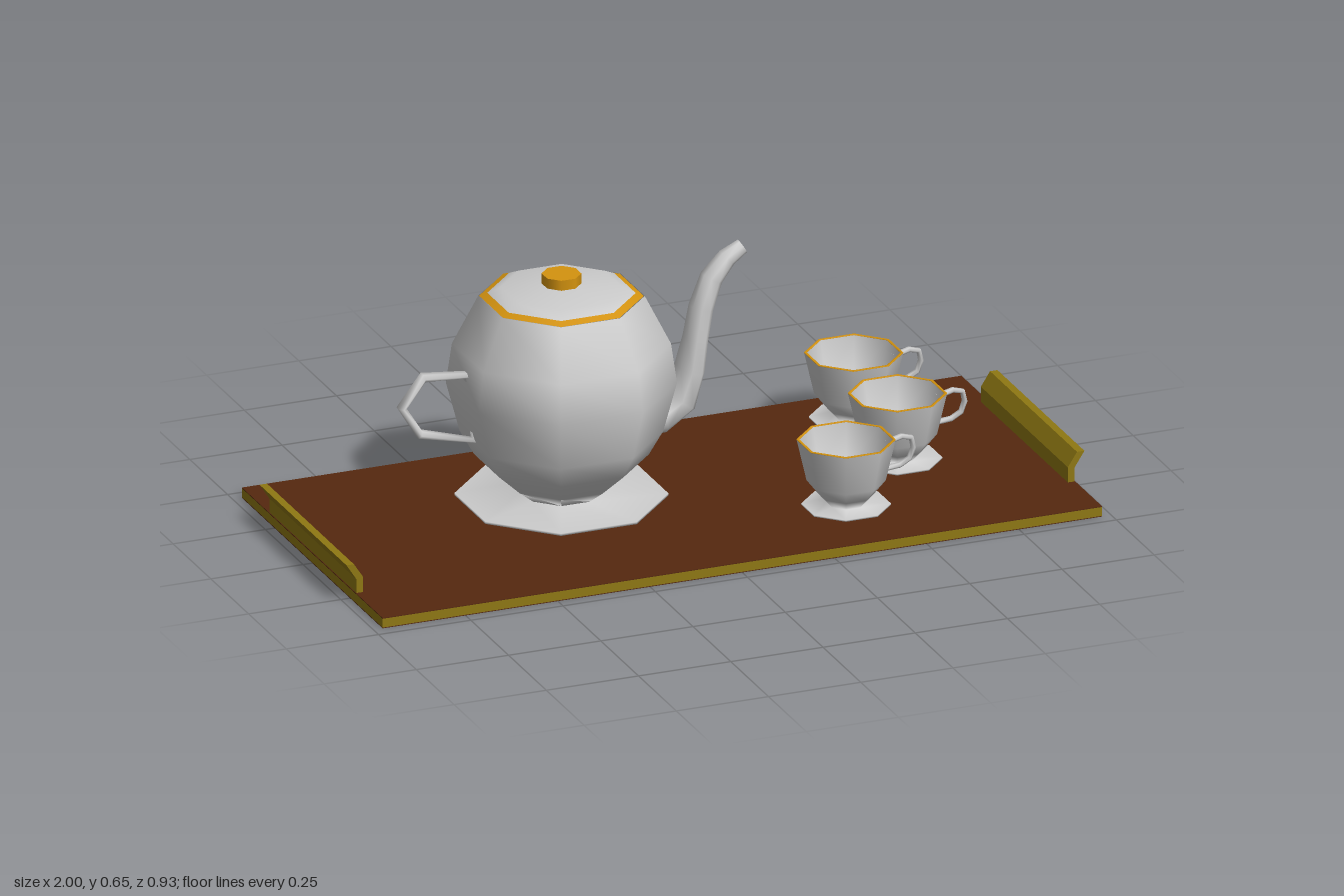
import * as THREE from 'three';

const mat = (color) => new THREE.MeshStandardMaterial({ color, side: THREE.DoubleSide });
const china = mat(0xcccccc);
const gold = mat(0xd4930f);
const brass = mat(0x8f7812);
const wood = mat(0x55280f);

function add(parent, name, geometry, material, x = 0, y = 0, z = 0) {
  const mesh = new THREE.Mesh(geometry, material);
  mesh.name = name;
  mesh.position.set(x, y, z);
  parent.add(mesh);
  return mesh;
}

// Eight-sided turned form; radii are measured to the middle of each flat side
function octagon(profile) {
  const k = 1 / Math.cos(Math.PI / 8);
  const pts = profile.map(([r, y]) => new THREE.Vector2(r * k, y));
  return new THREE.LatheGeometry(pts, 8, Math.PI / 8);
}

// Elliptical rings along a path in the xy plane; stations are [x, y, half thickness, half width]
function sweep(stations, { closed = false, sides = 8, capEnd = false } = {}) {
  const n = stations.length;
  const pos = [];
  const idx = [];
  stations.forEach(([x, y, a, b], i) => {
    const p = stations[closed ? (i + n - 1) % n : Math.max(i - 1, 0)];
    const q = stations[closed ? (i + 1) % n : Math.min(i + 1, n - 1)];
    const len = Math.hypot(q[0] - p[0], q[1] - p[1]);
    const nx = -(q[1] - p[1]) / len;
    const ny = (q[0] - p[0]) / len;
    for (let j = 0; j < sides; j++) {
      const t = ((j + 0.5) / sides) * Math.PI * 2;
      const c = Math.cos(t) * a;
      pos.push(x + nx * c, y + ny * c, Math.sin(t) * b);
    }
  });
  for (let i = 0; i < (closed ? n : n - 1); i++) {
    for (let j = 0; j < sides; j++) {
      const a = i * sides + j;
      const b = i * sides + ((j + 1) % sides);
      const c = ((i + 1) % n) * sides + j;
      const d = ((i + 1) % n) * sides + ((j + 1) % sides);
      idx.push(a, b, c, b, d, c);
    }
  }
  if (capEnd) {
    const s = (n - 1) * sides;
    for (let j = 1; j < sides - 1; j++) idx.push(s, s + j, s + j + 1);
  }
  const g = new THREE.BufferGeometry();
  g.setAttribute('position', new THREE.Float32BufferAttribute(pos, 3));
  g.setIndex(idx);
  g.computeVertexNormals();
  return g;
}

function makeTray() {
  const tray = new THREE.Group();
  tray.name = 'tray';
  add(tray, 'trayEdge', new THREE.BoxGeometry(1.95, 0.024, 0.932), brass, 0, 0.014, 0);
  for (const [name, y] of [['trayTop', 0.027], ['trayUnderside', 0.001]]) {
    add(tray, name, new THREE.BoxGeometry(1.95, 0.002, 0.932), wood, 0, y, 0);
  }
  // Grips: an upright strip with its upper half bent outwards
  const shape = new THREE.Shape([
    [0.955, 0.026], [0.973, 0.026], [0.973, 0.065], [1.0, 0.107], [0.98, 0.107], [0.955, 0.069],
  ].map(([x, y]) => new THREE.Vector2(x, y)));
  const grip = new THREE.ExtrudeGeometry(shape, { depth: 0.576, bevelEnabled: false });
  grip.translate(0, 0, -0.288);
  add(tray, 'leftGrip', grip, brass);
  add(tray, 'rightGrip', grip, brass).rotation.y = Math.PI;
  return tray;
}

function makeTeapot() {
  const pot = new THREE.Group();
  pot.name = 'teapot';
  add(pot, 'potBody', octagon([
    [0, 0.036], [0.248, 0.038], [0.248, 0.044], [0.093, 0.05], [0.135, 0.085], [0.203, 0.15],
    [0.236, 0.213], [0.268, 0.344], [0.254, 0.45], [0.193, 0.579],
  ]), china);
  // Lid with its gilded edge and knob
  add(pot, 'lidBand', octagon([[0.191, 0.579], [0.172, 0.587]]), gold);
  add(pot, 'lid', octagon([[0.172, 0.587], [0.141, 0.603], [0.046, 0.613], [0, 0.614]]), china);
  add(pot, 'knob', new THREE.CylinderGeometry(0.05, 0.05, 0.027, 8, 1, false, Math.PI / 8), gold, 0, 0.6265, 0);
  // Spout, wide and oval at the root
  add(pot, 'spout', sweep([
    [0.19, 0.215, 0.05, 0.054], [0.265, 0.215, 0.045, 0.056], [0.32, 0.25, 0.043, 0.057],
    [0.347, 0.33, 0.036, 0.056], [0.363, 0.41, 0.031, 0.043], [0.378, 0.49, 0.031, 0.037],
    [0.406, 0.565, 0.03, 0.03], [0.448, 0.613, 0.025, 0.025], [0.49, 0.638, 0.02, 0.019],
  ], { capEnd: true }), china);
  // Angular closed handle with an upright against the body
  add(pot, 'potHandle', sweep([
    [-0.255, 0.405], [-0.375, 0.416], [-0.433, 0.342], [-0.385, 0.264], [-0.235, 0.225],
  ].map(([x, y]) => [x, y, 0.012, 0.018]), { closed: true, sides: 6 }), china);
  pot.position.set(-0.262, 0, -0.092);
  return pot;
}

function makeCup(x, z) {
  const cup = new THREE.Group();
  cup.name = 'cup';
  // Saucer, outer wall, then down the inside to the floor
  add(cup, 'cupBody', octagon([
    [0, 0.035], [0.104, 0.036], [0.104, 0.04], [0.046, 0.043], [0.066, 0.068], [0.092, 0.103], [0.115, 0.213],
  ]), china);
  add(cup, 'cupInside', octagon([[0.109, 0.212], [0.087, 0.105], [0.045, 0.06], [0, 0.055]].reverse()), china);
  add(cup, 'cupRim', octagon([[0.115, 0.212], [0.115, 0.214], [0.109, 0.214], [0.109, 0.211]]), gold);
  add(cup, 'cupHandle', sweep([
    [0.106, 0.188], [0.15, 0.199], [0.176, 0.192], [0.182, 0.165], [0.172, 0.137], [0.145, 0.122], [0.096, 0.118],
  ].map(([px, py]) => [px, py, 0.007, 0.009]), { sides: 6 }), china);
  cup.position.set(x, 0, z);
  return cup;
}

export function createModel() {
  const model = new THREE.Group();
  model.name = 'teaSet';
  model.add(makeTray(), makeTeapot());
  for (const [x, z] of [[0.612, -0.292], [0.612, -0.002], [0.377, 0.232]]) model.add(makeCup(x, z));
  return model;
}
